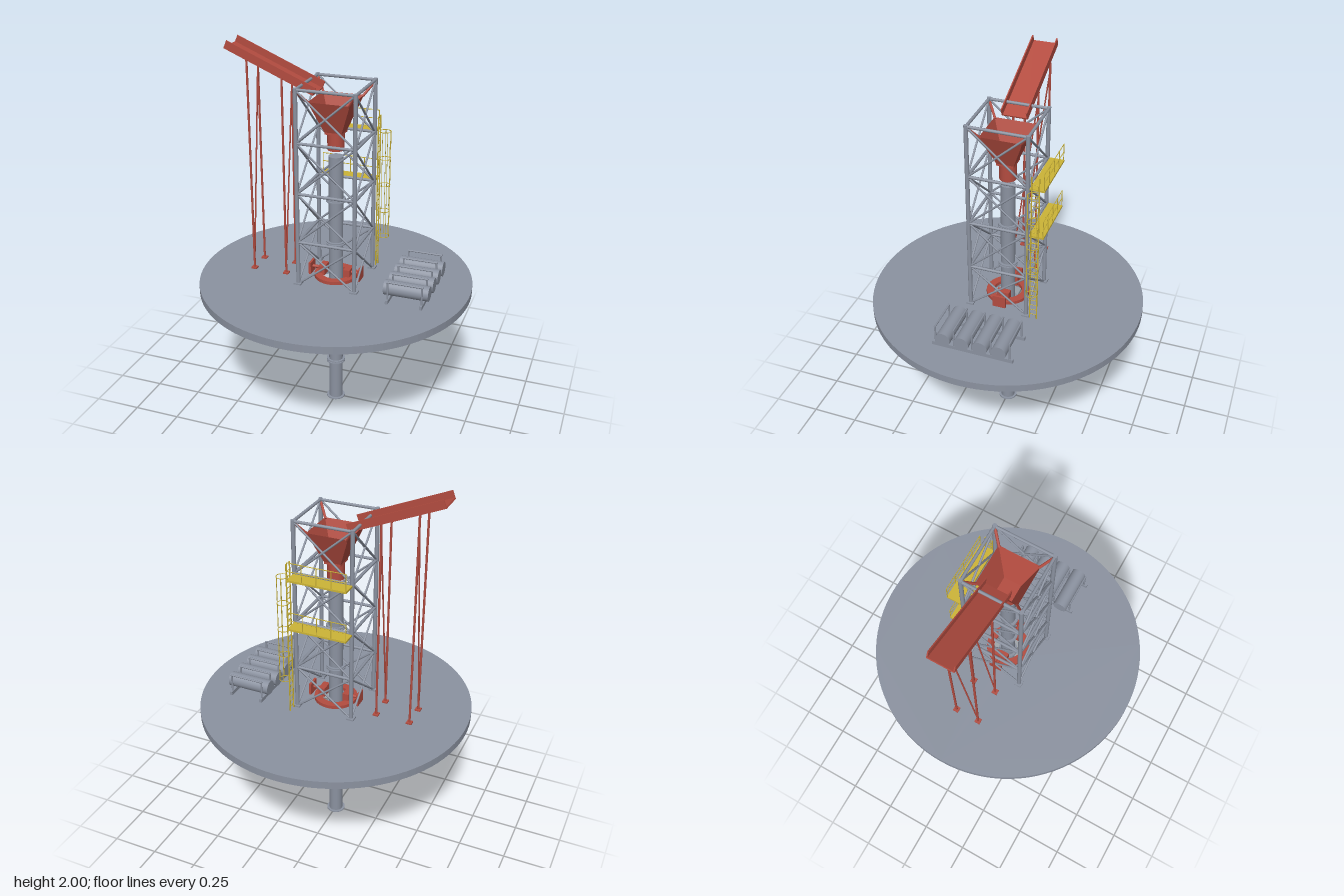
import * as THREE from 'three';

export function createModel() {
  const root = new THREE.Group();
  const mat = (name, color) => {
    const m = new THREE.MeshStandardMaterial({ color, side: THREE.DoubleSide });
    m.name = name;
    return m;
  };
  const steel = mat('steel grey', 0x8b92a0);
  const red = mat('oxide red', 0xb34c40);
  const yellow = mat('safety yellow', 0xccb437);
  const V = (x, y, z) => new THREE.Vector3(x, y, z);

  const group = (name, parent = root) => {
    const g = new THREE.Group();
    g.name = name;
    parent.add(g);
    return g;
  };
  const add = (g, name, geo, m, x = 0, y = 0, z = 0) => {
    const mesh = new THREE.Mesh(geo, m);
    mesh.name = name;
    mesh.position.set(x, y, z);
    g.add(mesh);
    return mesh;
  };
  const box = (g, name, m, w, h, d, x, y, z) => add(g, name, new THREE.BoxGeometry(w, h, d), m, x, y, z);
  // Round bar between two points
  const bar = (g, name, m, a, b, r, sides = 8) => {
    const mesh = add(g, name, new THREE.CylinderGeometry(r, r, a.distanceTo(b), sides), m);
    mesh.position.copy(a).lerp(b, 0.5);
    mesh.quaternion.setFromUnitVectors(V(0, 1, 0), b.clone().sub(a).normalize());
    return mesh;
  };
  // Flat ring lying on y, extruded upwards
  const ringPlate = (g, name, m, outer, inner, y, h, seg) => {
    const s = new THREE.Shape().absarc(0, 0, outer, 0, Math.PI * 2);
    s.holes.push(new THREE.Path().absarc(0, 0, inner, 0, Math.PI * 2, true));
    const geo = new THREE.ExtrudeGeometry(s, { depth: h, bevelEnabled: false, curveSegments: seg });
    geo.rotateX(-Math.PI / 2);
    return add(g, name, geo, m, 0, y, 0);
  };

  // Deck
  const DECK = 0.765;
  ringPlate(root, 'deck', steel, 0.725, 0.105, 0.725, 0.04, 48);

  // Flanged pipe string
  const pipe = group('pipeString');
  for (let i = 0; i < 6; i++) {
    const lo = i * 0.241 + (i ? 0.003 : 0);
    const hi = (i + 1) * 0.241 - 0.003;
    add(pipe, 'pipeSection', new THREE.CylinderGeometry(0.038, 0.038, hi - lo, 24), steel, 0, (lo + hi) / 2, 0);
    add(pipe, 'lowerFlange', new THREE.CylinderGeometry(0.051, 0.051, 0.006, 24), steel, 0, lo + 0.003, 0);
    if (i < 5) add(pipe, 'upperFlange', new THREE.CylinderGeometry(0.051, 0.051, 0.006, 24), steel, 0, hi - 0.003, 0);
  }

  // Pipe clamp: collar with two jaws and their rams
  const clamp = group('pipeClamp');
  ringPlate(clamp, 'collar', red, 0.115, 0.075, DECK, 0.018, 24);
  for (const s of [-1, 1]) {
    box(clamp, 'jaw', red, 0.035, 0.05, 0.07, s * 0.07, 0.797, 0);
    bar(clamp, 'ram', red, V(s * 0.085, 0.8, 0), V(s * 0.135, 0.8, 0), 0.009, 10);
    box(clamp, 'ramPlate', red, 0.012, 0.066, 0.07, s * 0.137, 0.798, 0);
  }

  // Tower frame
  const tower = group('tower');
  const T = 0.154;
  const levels = [DECK, 1.005, 1.272, 1.54, 1.81];
  const corners = [[T, T], [T, -T], [-T, -T], [-T, T]];
  corners.forEach(([x, z], i) => {
    bar(tower, 'towerLeg', steel, V(x, DECK, z), V(x, 1.818, z), 0.011, 12);
    box(tower, 'footPlate', steel, 0.04, 0.008, 0.04, x, DECK + 0.004, z);
    const [nx, nz] = corners[(i + 1) % 4];
    for (let k = 1; k < levels.length; k++) {
      const lo = levels[k - 1], hi = levels[k];
      bar(tower, 'crossbeam', steel, V(x, hi, z), V(nx, hi, nz), 0.008);
      bar(tower, 'brace', steel, V(x, lo, z), V(nx, hi, nz), 0.0055);
      bar(tower, 'brace', steel, V(nx, lo, nz), V(x, hi, z), 0.0055);
    }
  });

  // Hopper: square funnel, round spout and corner hangers
  const hopper = group('hopper');
  const funnel = new THREE.CylinderGeometry(0.109 * Math.SQRT2, 0.045 * Math.SQRT2, 0.165, 4, 1, true).toNonIndexed();
  funnel.rotateY(Math.PI / 4);
  funnel.computeVertexNormals();
  add(hopper, 'funnel', funnel, red, 0, 1.6575, 0);
  box(hopper, 'neck', red, 0.09, 0.012, 0.09, 0, 1.57, 0);
  add(hopper, 'spout', new THREE.CylinderGeometry(0.044, 0.044, 0.09, 24), red, 0, 1.523, 0);
  for (const [x, z] of corners) {
    bar(hopper, 'hanger', red, V(Math.sign(x) * 0.104, 1.735, Math.sign(z) * 0.104), V(x, 1.805, z), 0.007);
  }

  // Feed chute: sloping open trough
  const chute = group('chute');
  const trough = group('trough', chute);
  trough.position.set(-0.3155, 1.9, 0);
  trough.rotation.z = -0.396;
  box(trough, 'troughFloor', red, 0.51, 0.008, 0.13, 0, -0.039, 0);
  for (const s of [-1, 1]) box(trough, 'troughSide', red, 0.51, 0.043, 0.006, 0, -0.0215, s * 0.064);

  // Chute trestles
  for (const [x, top] of [[-0.445, 1.91], [-0.26, 1.835]]) {
    for (const s of [-1, 1]) {
      bar(chute, 'trestleLeg', red, V(x, DECK, s * 0.066), V(x, top, s * 0.066), 0.006);
      box(chute, 'trestleFoot', red, 0.03, 0.008, 0.03, x, DECK + 0.004, s * 0.066);
    }
    bar(chute, 'trestleBrace', red, V(x, 0.8, 0.066), V(x, top - 0.04, -0.066), 0.004, 6);
  }

  // Walkways with handrails on the back
  const access = group('access');
  for (const y of [1.272, 1.54]) {
    box(access, 'walkway', yellow, 0.315, 0.01, 0.075, -0.002, y - 0.005, -0.202);
    for (const h of [0.045, 0.09]) {
      bar(access, 'handrail', yellow, V(-0.158, y + h, -0.236), V(0.152, y + h, -0.236), 0.0022, 6);
    }
    for (let i = 0; i < 5; i++) {
      const x = -0.158 + i * 0.0775;
      bar(access, 'railPost', yellow, V(x, y, -0.236), V(x, y + 0.09, -0.236), 0.0022, 6);
    }
  }

  // Ladder
  const LX = 0.166;
  for (const z of [-0.178, -0.216]) {
    bar(access, 'ladderRail', yellow, V(LX, DECK, z), V(LX, 1.612, z), 0.0035, 6);
  }
  for (let y = 0.79; y < 1.6; y += 0.03) {
    bar(access, 'rung', yellow, V(LX, y, -0.178), V(LX, y, -0.216), 0.002, 6);
  }

  // Ladder safety cage
  for (let i = 0; i < 5; i++) {
    const hoop = add(access, 'cageHoop', new THREE.TorusGeometry(0.03, 0.0018, 6, 20), yellow, 0.199, 0.945 + i * 0.147, -0.198);
    hoop.rotation.x = Math.PI / 2;
  }
  for (const a of [-1.8, -0.9, 0, 0.9, 1.8]) {
    const x = 0.199 + 0.03 * Math.cos(a), z = -0.198 + 0.03 * Math.sin(a);
    bar(access, 'cageStrap', yellow, V(x, 0.945, z), V(x, 1.533, z), 0.0015, 6);
  }

  // Tank rack
  const rack = group('tankRack');
  for (let i = 0; i < 4; i++) {
    const z = (i - 1.5) * 0.098;
    bar(rack, 'tank', steel, V(0.318, 0.827, z), V(0.552, 0.827, z), 0.039, 24);
  }
  for (const x of [0.346, 0.524]) box(rack, 'skid', steel, 0.014, 0.02, 0.43, x, DECK + 0.01, 0);
  for (let i = 0; i < 5; i++) {
    const z = (i - 2) * 0.098;
    for (const x of [0.346, 0.524]) bar(rack, 'rackPost', steel, V(x, DECK, z), V(x, 0.882, z), 0.005);
    bar(rack, 'rackRail', steel, V(0.341, 0.88, z), V(0.529, 0.88, z), 0.005);
  }

  return root;
}
